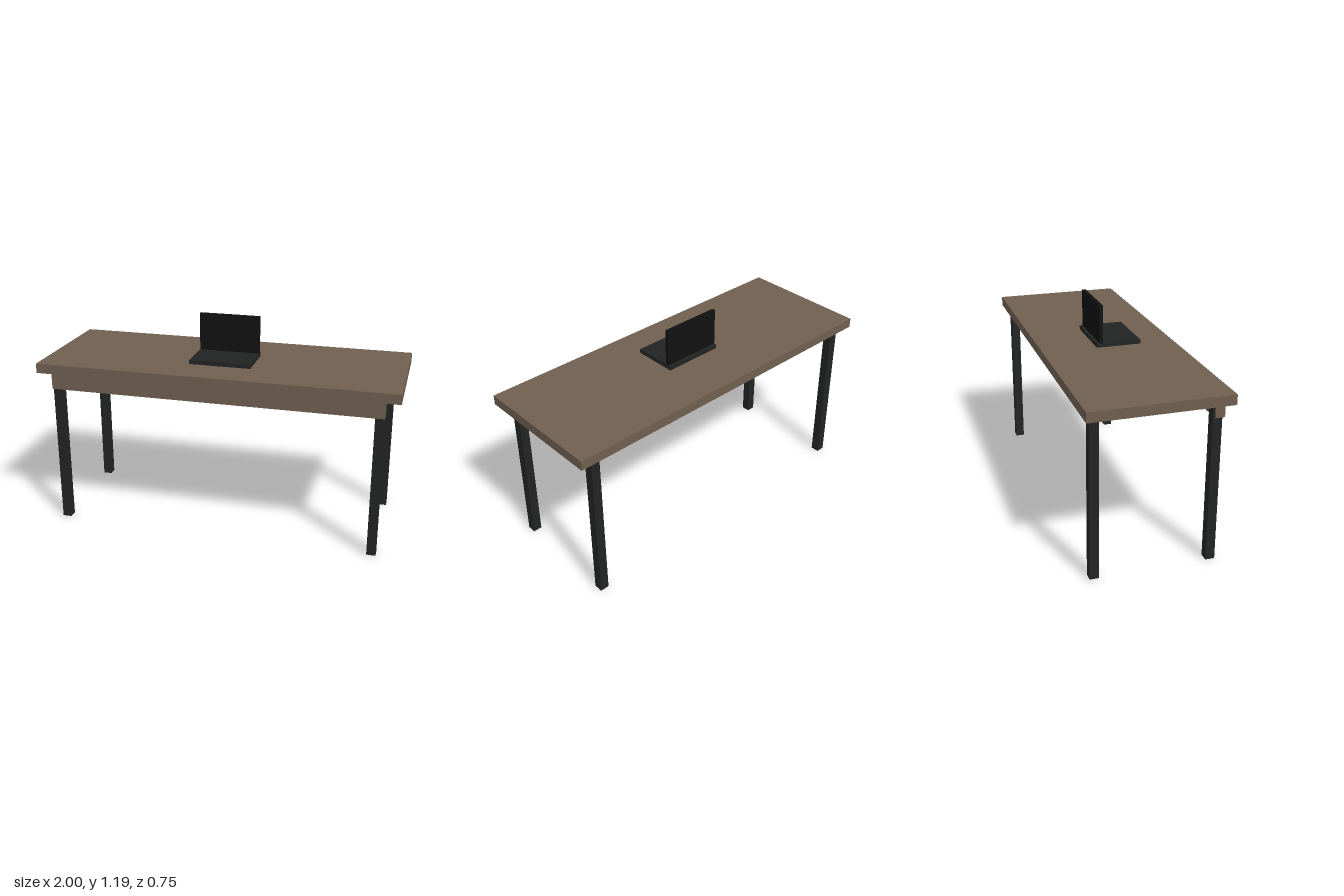
import * as THREE from 'three';

const wood = new THREE.MeshStandardMaterial({ color: 0x6f5f50 });
const metal = new THREE.MeshStandardMaterial({ color: 0x222424 });
const screenBlack = new THREE.MeshStandardMaterial({ color: 0x111111 });

// Box given by its extents along each axis
function block(name, material, [x0, x1], [y0, y1], [z0, z1]) {
  const mesh = new THREE.Mesh(new THREE.BoxGeometry(x1 - x0, y1 - y0, z1 - z0), material);
  mesh.name = name;
  mesh.position.set((x0 + x1) / 2, (y0 + y1) / 2, (z0 + z1) / 2);
  return mesh;
}

export function createModel() {
  const model = new THREE.Group();
  model.name = 'desk';

  // Table top and the apron under its front edge
  model.add(block('tableTop', wood, [-1, 1], [0.893, 0.947], [-0.373, 0.373]));
  model.add(block('frontApron', wood, [-0.921, 0.921], [0.8, 0.893], [0.3, 0.352]));

  // Four square legs
  for (const x of [-0.895, 0.895]) {
    for (const z of [-0.313, 0.313]) {
      const name = (z > 0 ? 'front' : 'back') + (x > 0 ? 'Left' : 'Right') + 'Leg';
      model.add(block(name, metal, [x - 0.025, x + 0.025], [0, 0.893], [z - 0.025, z + 0.025]));
    }
  }

  // Open laptop, resting just above the top
  const laptop = new THREE.Group();
  laptop.name = 'laptop';
  laptop.add(block('laptopBase', metal, [-0.173, 0.173], [0.952, 0.975], [-0.075, 0.175]));
  laptop.add(block('laptopScreen', screenBlack, [-0.173, 0.173], [0.975, 1.187], [-0.059, -0.04]));
  model.add(laptop);

  return model;
}
